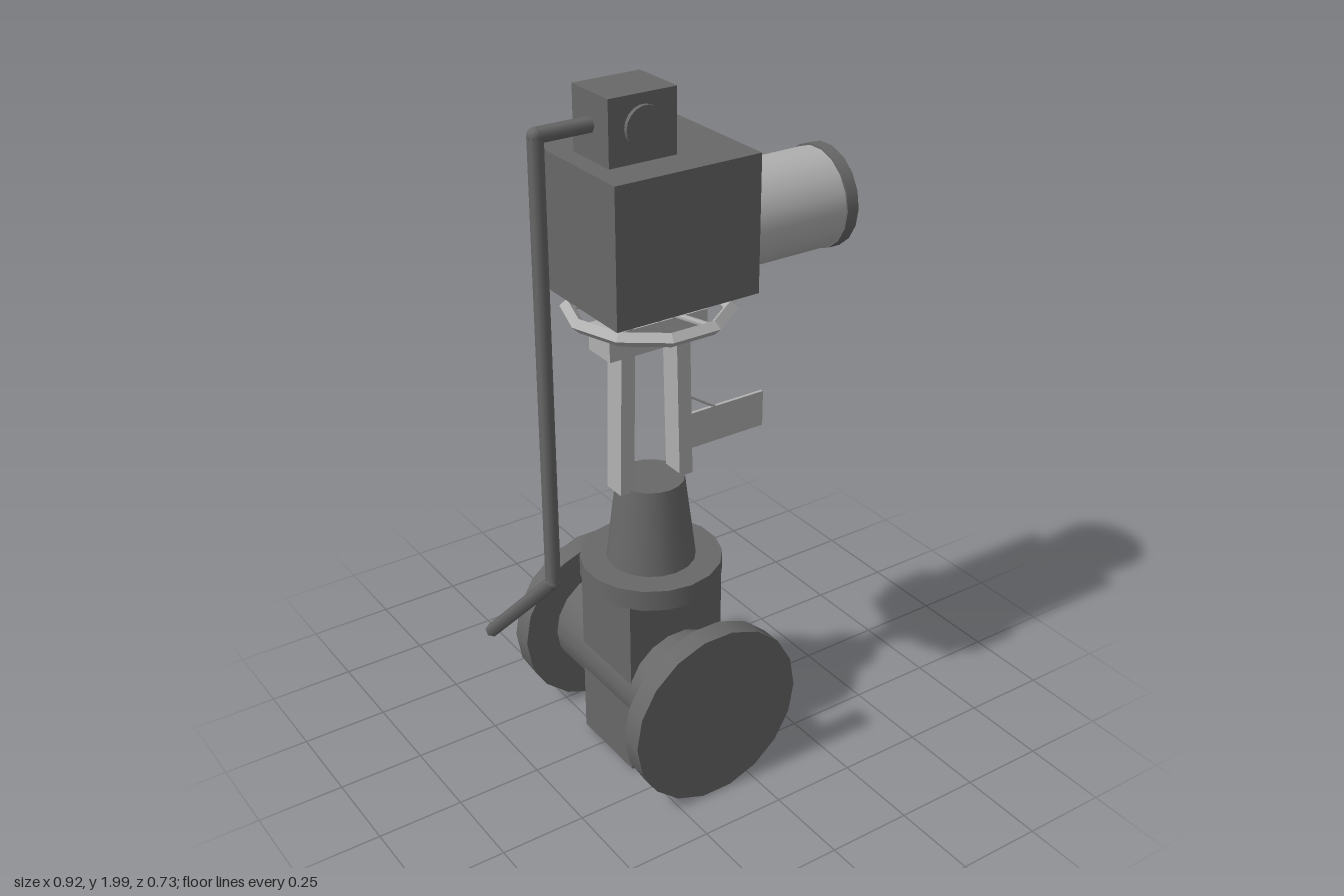
import * as THREE from 'three';

const CX = -0.12, CZ = 0.034; // shared vertical axis of the valve

function material(name, color) {
  const m = new THREE.MeshStandardMaterial({ color });
  m.name = name;
  return m;
}

export function createModel() {
  const model = new THREE.Group();
  model.name = 'motorOperatedValve';
  const dark = material('darkGrey', 0x686868);
  const light = material('lightGrey', 0xb0b0b0);

  function add(name, geometry, mat, x = 0, y = 0, z = 0, parent = model) {
    const mesh = new THREE.Mesh(geometry, mat);
    mesh.name = name;
    mesh.position.set(x, y, z);
    parent.add(mesh);
    return mesh;
  }
  // Box given by its extents
  function box(name, mat, x0, x1, y0, y1, z0, z1) {
    return add(name, new THREE.BoxGeometry(x1 - x0, y1 - y0, z1 - z0), mat,
      (x0 + x1) / 2, (y0 + y1) / 2, (z0 + z1) / 2);
  }
  const drum = (rTop, rBottom, h, n = 18) => new THREE.CylinderGeometry(rTop, rBottom, h, n);
  const alongZ = (r, h) => drum(r, r, h).rotateY(Math.PI / 2).rotateX(Math.PI / 2);
  const alongX = (r, h) => drum(r, r, h).rotateZ(Math.PI / 2);
  // Straight rod between two points
  function rod(name, mat, a, b, r, n = 6, parent = model) {
    const d = b.clone().sub(a);
    const mesh = add(name, drum(r, r, d.length(), n), mat, 0, 0, 0, parent);
    mesh.position.copy(a).add(b).multiplyScalar(0.5);
    mesh.quaternion.setFromUnitVectors(new THREE.Vector3(0, 1, 0), d.normalize());
    return mesh;
  }
  const v = (x, y, z) => new THREE.Vector3(x, y, z);

  // Valve body with the flow pipe and its end flanges
  box('valveBody', dark, -0.275, 0.033, 0.015, 0.575, -0.092, 0.162);
  add('flowPipe', alongZ(0.163, 0.56), dark, CX, 0.27, CZ);
  for (const s of [-1, 1]) {
    add(s > 0 ? 'frontFlange' : 'backFlange', alongZ(0.267, 0.064), dark, CX, 0.268, CZ + s * 0.299);
  }

  // Bonnet
  add('bonnetFlange', drum(0.202, 0.202, 0.062), dark, CX, 0.601, CZ);
  add('bonnetCone', drum(0.096, 0.127, 0.25), dark, CX, 0.756, CZ);

  // Yoke: two legs leaning inwards under a cross block
  for (const s of [-1, 1]) {
    const leg = add(s > 0 ? 'leftYokeLeg' : 'rightYokeLeg', new THREE.BoxGeometry(0.043, 0.425, 0.068),
      light, CX + s * 0.092, 1.084, CZ);
    leg.rotation.z = s * 0.022;
  }
  box('yokeTop', light, -0.275, 0.033, 1.29, 1.367, -0.017, 0.085);

  // Tag plate on a thin brace
  box('tagPlate', light, 0.005, 0.26, 0.93, 1.038, 0.029, 0.039);
  rod('tagBrace', light, v(-0.015, 1.108, CZ), v(0.105, 1.03, CZ), 0.005);

  // Handwheel
  const wheel = new THREE.Group();
  wheel.name = 'handwheel';
  wheel.position.set(CX, 1.392, CZ);
  model.add(wheel);
  add('wheelRim', new THREE.TorusGeometry(0.215, 0.02, 4, 10).toNonIndexed().rotateX(Math.PI / 2),
    light, 0, 0, 0, wheel).geometry.computeVertexNormals();
  add('wheelHub', drum(0.05, 0.05, 0.05, 10), light, 0, 0, 0, wheel);
  for (let i = 0; i < 5; i++) {
    const a = i * Math.PI * 2 / 5;
    rod('wheelSpoke', light, v(0, 0, 0), v(0.21 * Math.cos(a), 0, 0.21 * Math.sin(a)), 0.009, 6, wheel);
  }
  add('stem', drum(0.018, 0.018, 0.1, 8), dark, CX, 1.41, CZ);

  // Actuator gearbox and motor
  box('gearbox', dark, -0.338, 0.097, 1.445, 1.825, -0.157, 0.223);
  add('motor', alongX(0.141, 0.34), light, 0.26, 1.585, CZ);
  add('motorCap', alongX(0.146, 0.037), dark, 0.4395, 1.585, CZ);

  // Control box with round dial
  box('controlBox', dark, -0.285, -0.085, 1.82, 2.0, -0.05, 0.115);
  add('dial', alongZ(0.055, 0.014), dark, -0.185, 1.917, 0.12);

  // Conduit from the control box down past the valve
  const path = [v(-0.28, 1.917, 0.032), v(-0.439, 1.917, 0.032), v(-0.439, 0.65, 0.032), v(-0.439, 0.27, -0.353)];
  for (let i = 0; i < 3; i++) {
    rod('conduit', dark, path[i], path[i + 1], 0.021);
    if (i > 0) add('conduitElbow', new THREE.SphereGeometry(0.021, 8, 6), dark, path[i].x, path[i].y, path[i].z);
  }
  return model;
}
